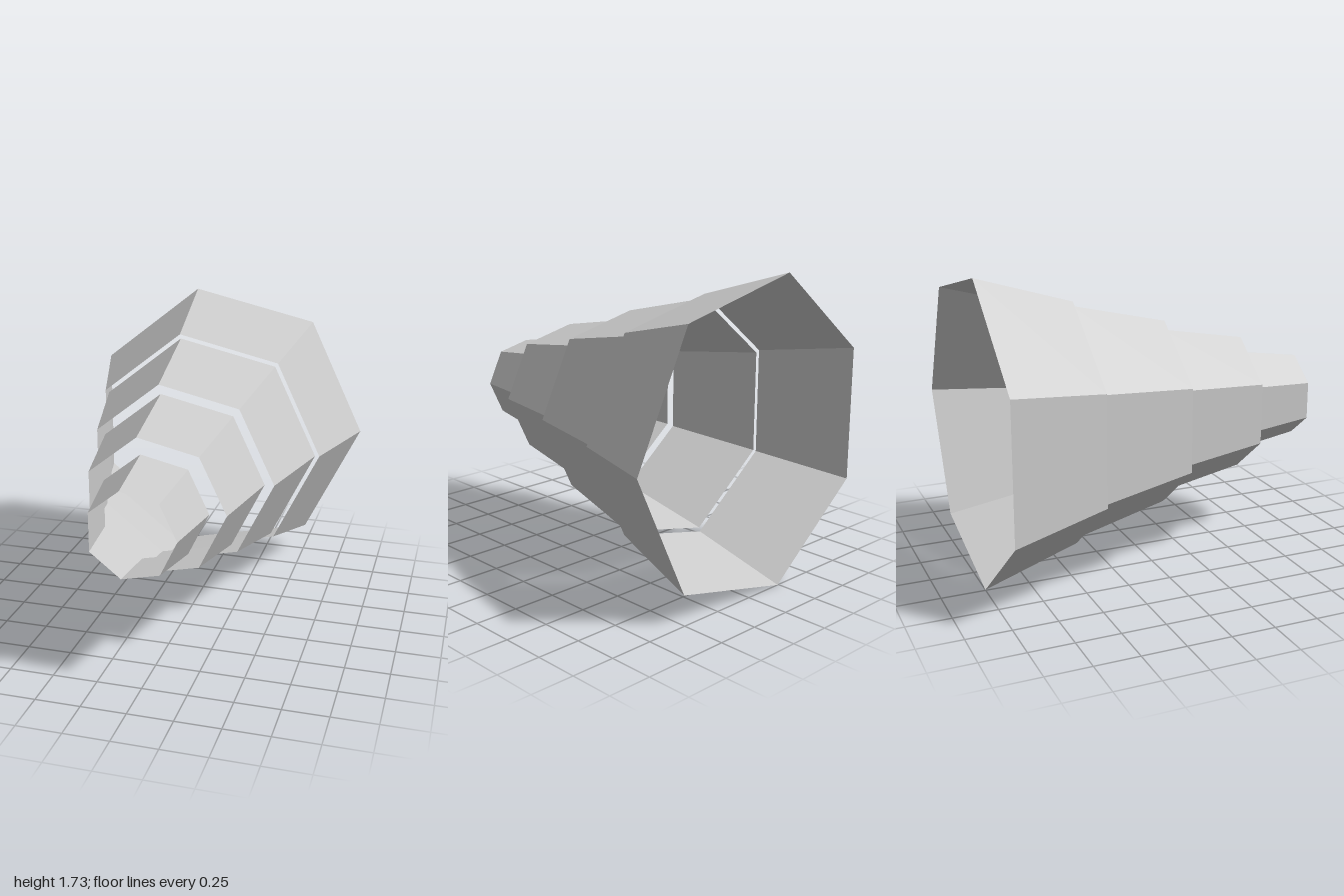
import * as THREE from 'three';

const SIDES = 7;
const CENTRE = [-0.046, 0.866];

// Each section: back z, back radius, front z, front radius
const SECTIONS = [
  [-1, 0.888, -0.447, 0.714],
  [-0.447, 0.688, 0.107, 0.552],
  [0.107, 0.497, 0.61, 0.403],
  [0.61, 0.308, 1, 0.247],
];

export function createModel() {
  const group = new THREE.Group();
  group.name = 'telescopingHorn';
  const material = new THREE.MeshStandardMaterial({
    color: 0xcccccc, flatShading: true, side: THREE.DoubleSide,
  });

  // Open seven-sided sleeves, narrowing in steps towards the front
  SECTIONS.forEach(([zBack, rBack, zFront, rFront], i) => {
    const sleeve = new THREE.CylinderGeometry(
      rFront, rBack, zFront - zBack, SIDES, 1, true, Math.PI / 2);
    sleeve.rotateX(Math.PI / 2);
    const mesh = new THREE.Mesh(sleeve, material);
    mesh.name = `hornSection${i + 1}`;
    mesh.position.set(...CENTRE, (zBack + zFront) / 2);
    group.add(mesh);
  });

  return group;
}
